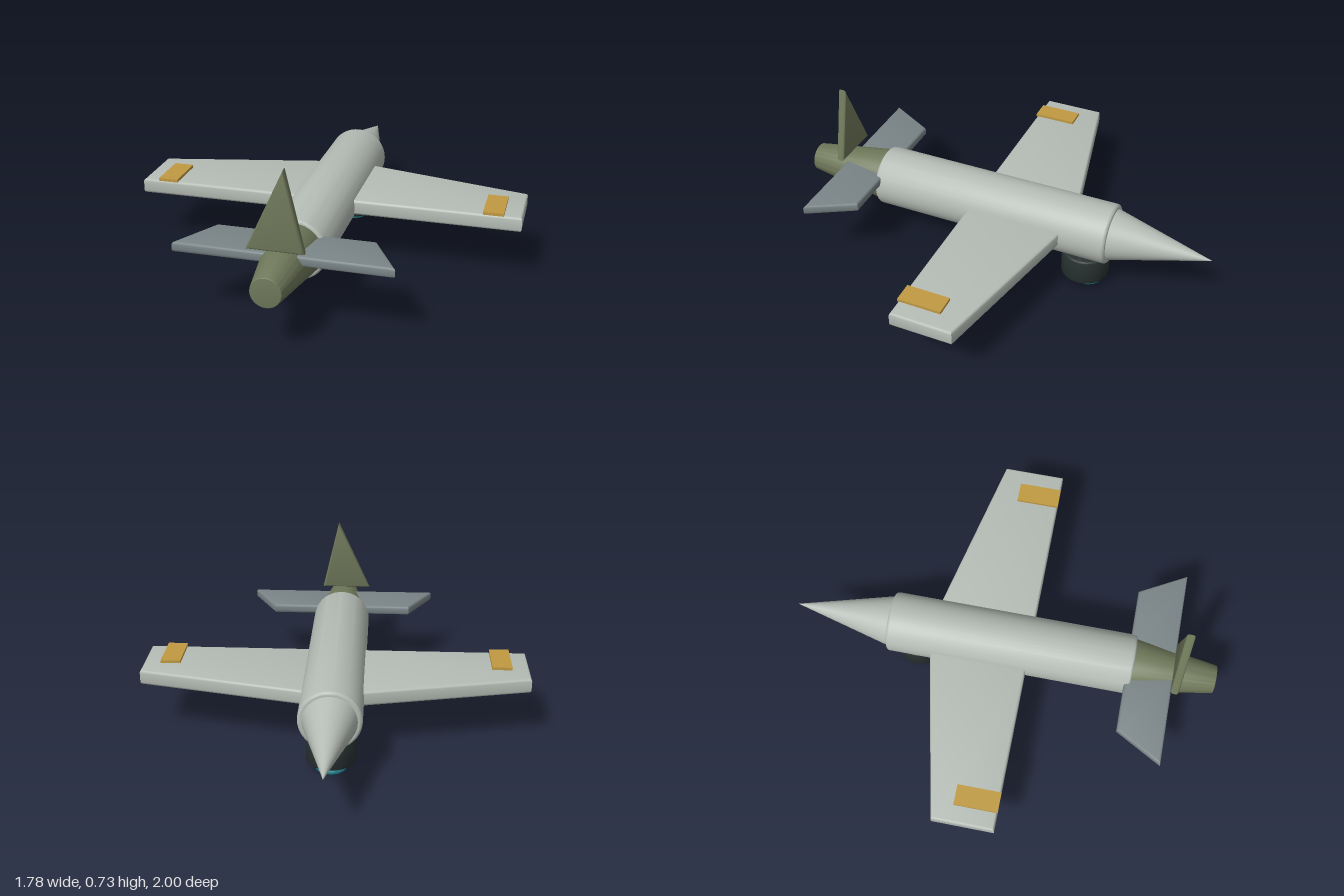
import * as THREE from 'three';
import { toCreasedNormals } from 'three/addons/utils/BufferGeometryUtils.js';

const material = (name, color) => {
  const m = new THREE.MeshStandardMaterial({ color });
  m.name = name;
  return m;
};

export function createModel() {
  const grey = material('paleGrey', 0xb5bcb5);
  const olive = material('olive', 0x6f785a);
  const slate = material('slate', 0x7a8587);
  const ochre = material('ochre', 0xc09a42);
  const black = material('black', 0x273030);
  const teal = material('teal', 0x23808a);

  const AXIS = 0.285; // height of the fuselage centreline
  const model = new THREE.Group();
  model.name = 'aircraft';

  const add = (name, geometry, mat, x = 0, y = 0, z = 0) => {
    const mesh = new THREE.Mesh(toCreasedNormals(geometry, 0.6), mat);
    mesh.name = name;
    mesh.position.set(x, y, z);
    model.add(mesh);
    return mesh;
  };

  // Solid of revolution between a and b with rounded rims
  const drum = (r0, r1, a, b, e) => {
    const pts = [[0, a]];
    for (let i = 0; i <= 4; i++) {
      const t = (i / 4) * Math.PI / 2;
      pts.push([r0 - e + e * Math.sin(t), a + e - e * Math.cos(t)]);
    }
    for (let i = 0; i <= 4; i++) {
      const t = (i / 4) * Math.PI / 2;
      pts.push([r1 - e + e * Math.cos(t), b - e + e * Math.sin(t)]);
    }
    pts.push([0, b]);
    return new THREE.LatheGeometry(pts.map(p => new THREE.Vector2(...p)), 48);
  };

  // Flat plate with a soft edge that stays inside its outline
  const plate = (points, thickness, bevel) => new THREE.ExtrudeGeometry(
    new THREE.Shape(points.map(p => new THREE.Vector2(...p))),
    {
      depth: thickness - 2 * bevel, bevelEnabled: true, bevelSize: bevel,
      bevelThickness: bevel, bevelOffset: -bevel, bevelSegments: 3,
    },
  ).translate(0, 0, bevel);

  // Body: nose cone, fuselage and tapered tail along z
  add('fuselage', drum(0.14, 0.14, -0.54, 0.615, 0.014).rotateX(Math.PI / 2), grey, 0, AXIS);
  add('noseCone', new THREE.ConeGeometry(0.119, 0.46, 48).rotateX(-Math.PI / 2), grey, 0, AXIS, -0.77);
  add('tailCone', drum(0.126, 0.066, 0.6, 1, 0.004).rotateX(Math.PI / 2), olive, 0, AXIS);

  for (const s of [1, -1]) {
    const side = s > 0 ? 'left' : 'right';

    // Main wing with a swept leading edge
    const wing = [[0.08, -0.337], [0.892, -0.158], [0.892, 0.128], [0.08, 0.128]];
    add(side + 'Wing', plate(wing.map(([x, z]) => [s * x, z]), 0.07, 0.012).rotateX(Math.PI / 2), grey, 0, 0.32);

    // Coloured panel near the wing tip
    add(side + 'WingPanel', new THREE.BoxGeometry(0.092, 0.014, 0.2), ochre, s * 0.766, 0.326, 0.03);

    // Tailplane
    const stabilizer = [[0.03, 0.586], [0.345, 0.586], [0.465, 0.803], [0.03, 0.803]];
    add(side + 'Tailplane', plate(stabilizer.map(([x, z]) => [s * x, z]), 0.045, 0.012).rotateX(Math.PI / 2), slate, 0, 0.355);
  }

  // Upright triangular fin, set across the tail
  add('tailFin', plate([[-0.137, 0.378], [0.107, 0.378], [0.025, 0.73]], 0.038, 0.012), olive, 0, 0, 0.797);

  // Sensor pod and its lens under the nose
  add('sensorPod', drum(0.112, 0.112, 0.034, 0.165, 0.012), black, 0, 0, -0.415);
  add('sensorLens', drum(0.07, 0.07, 0, 0.021, 0.008), teal, 0, 0, -0.432);

  return model;
}
